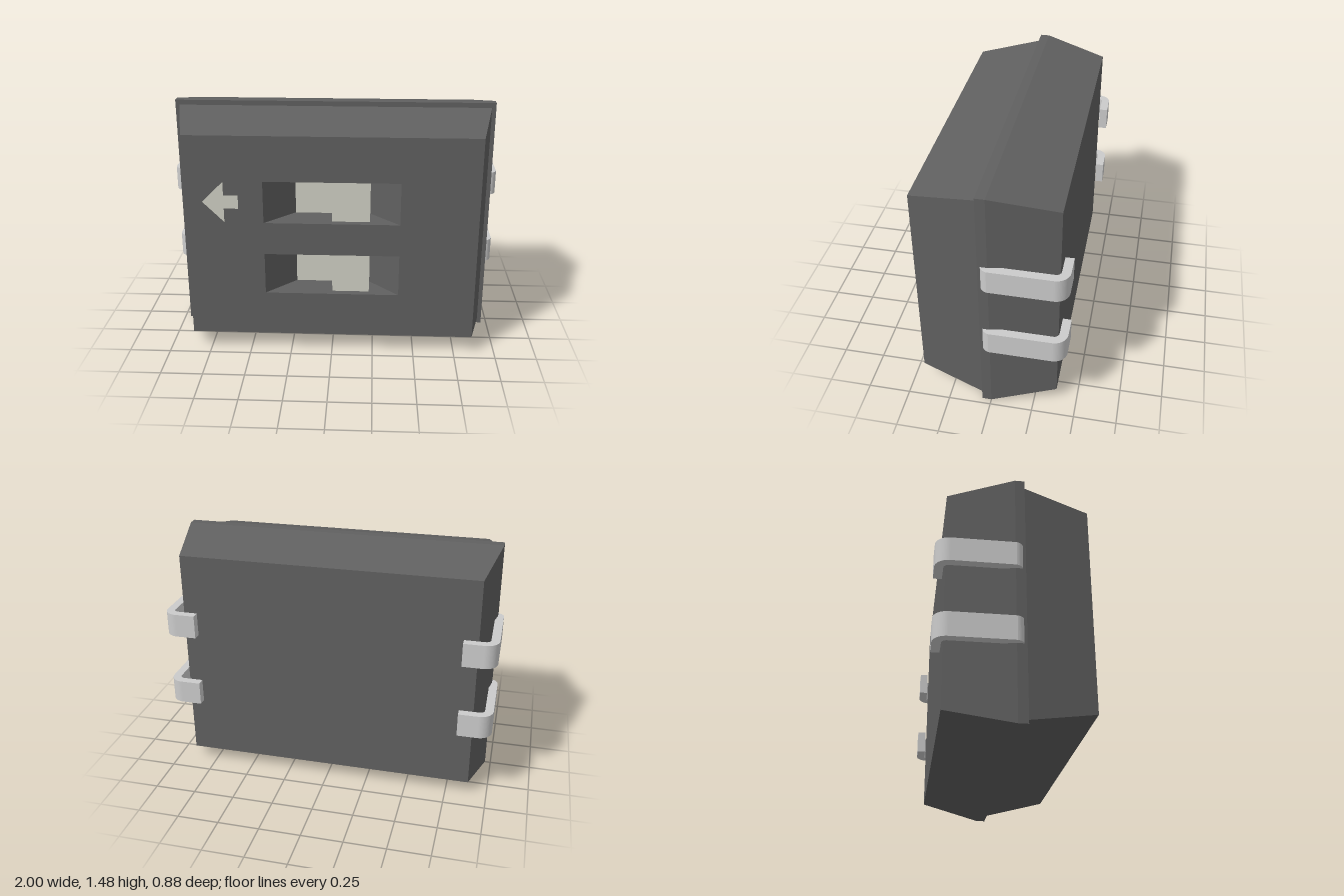
import * as THREE from 'three';

const dark = new THREE.MeshStandardMaterial({ color: 0x606060, flatShading: true });
const cream = new THREE.MeshStandardMaterial({ color: 0xd0d0c4 });
const metal = new THREE.MeshStandardMaterial({ color: 0xcccccc });

const FRONT = 0.44, BACK = -0.38, MID_Y = 0.74;
const FLOOR = 0.26; // depth of the switch pockets

function add(parent, name, geometry, material, x = 0, y = 0, z = 0) {
  const mesh = new THREE.Mesh(geometry, material);
  mesh.name = name;
  mesh.position.set(x, y, z);
  parent.add(mesh);
  return mesh;
}

// Walls joining rectangles [halfWidth, halfHeight, z]; front to back faces out, back to front faces in
function rectLoft(sections) {
  const corners = ([w, h, z]) => [[-w, -h, z], [w, -h, z], [w, h, z], [-w, h, z]];
  const pos = [];
  for (let s = 0; s < sections.length - 1; s++) {
    const a = corners(sections[s]), b = corners(sections[s + 1]);
    for (let i = 0; i < 4; i++) {
      const j = (i + 1) % 4;
      for (const p of [a[i], b[i], b[j], a[i], b[j], a[j]]) pos.push(...p);
    }
  }
  const g = new THREE.BufferGeometry();
  g.setAttribute('position', new THREE.Float32BufferAttribute(pos, 3));
  g.computeVertexNormals();
  return g;
}

function rectPath(Type, x, y, w, h) {
  const p = new Type();
  p.moveTo(x - w, y - h);
  p.lineTo(x + w, y - h);
  p.lineTo(x + w, y + h);
  p.lineTo(x - w, y + h);
  p.closePath();
  return p;
}

// Bent pin outline, drawn as (x, -z) and extruded upward
function pinGeometry(height) {
  const s = new THREE.Shape();
  s.moveTo(0.93, -0.04);
  s.lineTo(0.96, -0.04);
  s.quadraticCurveTo(0.99, -0.035, 1, 0);
  s.lineTo(1, 0.36);
  s.absarc(0.92, 0.36, 0.08, 0, Math.PI / 2, false);
  s.lineTo(0.8, 0.44);
  s.lineTo(0.8, 0.39);
  s.lineTo(0.92, 0.39);
  s.absarc(0.92, 0.36, 0.03, Math.PI / 2, 0, true);
  s.lineTo(0.95, 0.01);
  s.lineTo(0.93, 0.01);
  s.closePath();
  const g = new THREE.ExtrudeGeometry(s, { depth: height, bevelEnabled: false, curveSegments: 10 });
  g.rotateX(-Math.PI / 2);
  g.translate(0, -height / 2, 0);
  return g;
}

export function createModel() {
  const model = new THREE.Group();
  model.name = 'slideSwitchPackage';

  // Housing: tapered cover and base meeting at a small ledge
  const housing = new THREE.Group();
  housing.name = 'housing';
  model.add(housing);
  add(housing, 'housingWalls', rectLoft([
    [0.857, 0.63, FRONT], [0.94, 0.71, 0.055], [0.965, 0.74, 0.055],
    [0.965, 0.74, 0], [0.885, 0.655, BACK],
  ]), dark, 0, MID_Y);
  add(housing, 'backFace', new THREE.PlaneGeometry(1.77, 1.31), dark, 0, MID_Y, BACK).rotation.y = Math.PI;

  const rows = [0.97, 0.515];
  const halfH = 0.128;
  const face = rectPath(THREE.Shape, 0, MID_Y, 0.857, 0.63);
  for (const y of rows) face.holes.push(rectPath(THREE.Path, 0, y, 0.4, halfH));
  add(housing, 'frontFace', new THREE.ShapeGeometry(face), dark, 0, 0, FRONT);

  // Pockets with sloped ends, each holding a stepped slider
  for (const y of rows) {
    const unit = new THREE.Group();
    unit.name = 'switchUnit';
    unit.position.y = y;
    model.add(unit);
    add(unit, 'pocket', rectLoft([[0.225, halfH, FLOOR], [0.4, halfH, FRONT]]), dark);
    add(unit, 'sliderBase', new THREE.BoxGeometry(0.45, halfH * 2, 0.04), cream, 0, 0, FLOOR - 0.02);
    add(unit, 'sliderKnob', new THREE.BoxGeometry(0.222, halfH * 2 - 0.002, 0.14), cream, 0.112, 0, FLOOR + 0.07);
  }

  // Direction arrow lying on the front face
  const arrow = new THREE.Shape([
    [-0.755, 0.97], [-0.63, 0.845], [-0.63, 0.93], [-0.545, 0.93],
    [-0.545, 1.012], [-0.63, 1.012], [-0.63, 1.095],
  ].map(([x, y]) => new THREE.Vector2(x, y)));
  add(model, 'arrowMark', new THREE.ShapeGeometry(arrow), cream, 0, 0, FRONT + 0.002);

  // Two bent pins on each side
  const pin = pinGeometry(0.143);
  for (const y of [0.968, 0.515]) {
    add(model, 'leftPin', pin, metal, 0, y);
    add(model, 'rightPin', pin, metal, 0, y).rotation.z = Math.PI;
  }
  return model;
}
